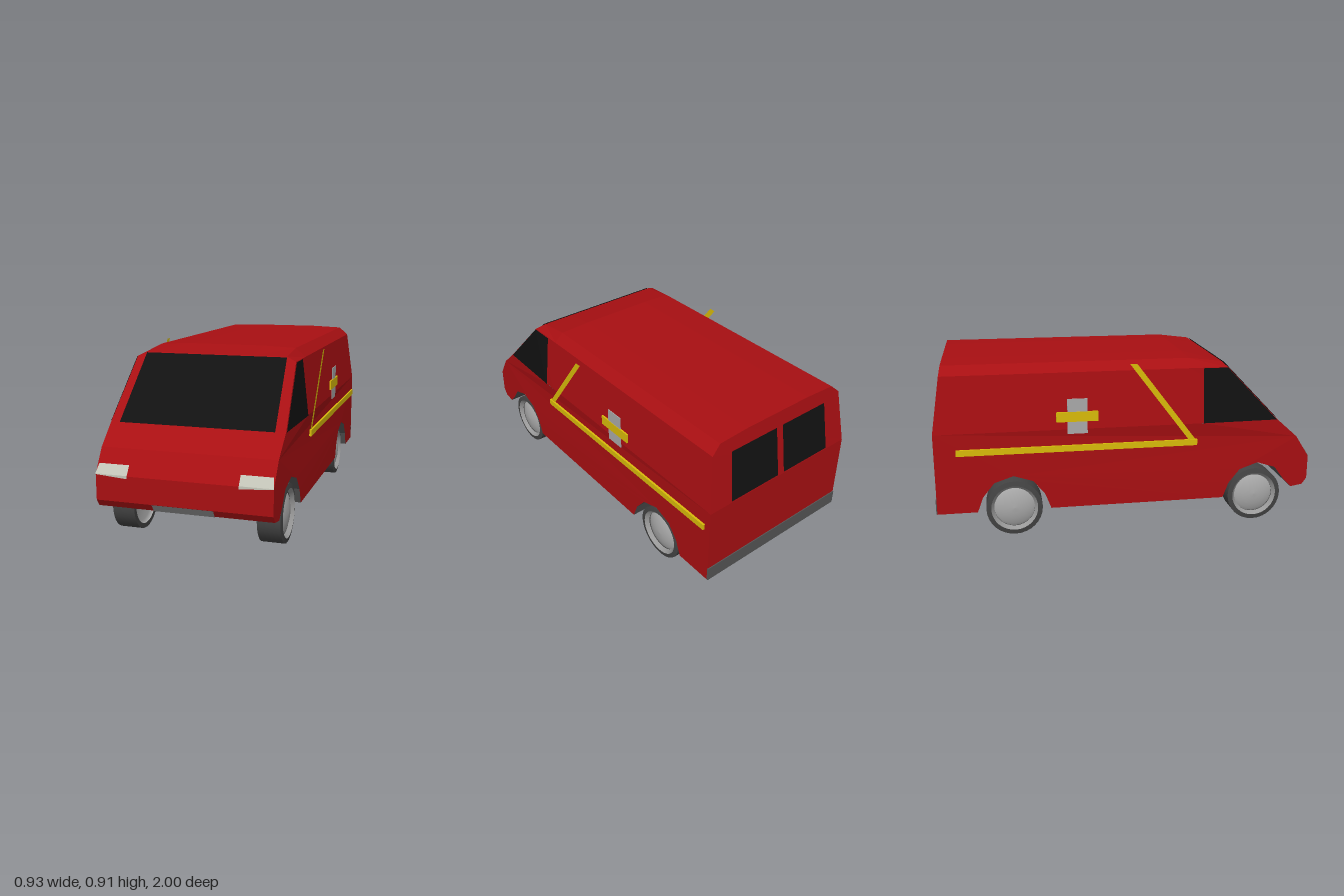
import * as THREE from 'three';

const RED = 0xa80f12, GLASS = 0x111111, DARK = 0x555555, TYRE = 0x444444, YELLOW = 0xd9bb0a, LAMP = 0xc4c5b8;

const paint = (color, flatShading = true) =>
  new THREE.MeshStandardMaterial({ color, flatShading, side: THREE.DoubleSide });

// Half width of the lower body, tapering toward the nose
const halfWidth = z => 0.455 - 0.018 * Math.max(0, (z - 0.4) / 0.6);

// Surface lofted between rows of points [x, y, z]
function loft(rows) {
  const n = rows[0].length, index = [];
  for (let r = 0; r < rows.length - 1; r++)
    for (let i = 0; i < n - 1; i++) {
      const a = r * n + i, b = a + n;
      index.push(a, b, a + 1, a + 1, b, b + 1);
    }
  return meshData(rows.flat(), index);
}

// Flat convex polygon as a triangle fan
function fan(points) {
  const index = [];
  for (let i = 1; i < points.length - 1; i++) index.push(0, i, i + 1);
  return meshData(points, index);
}

function meshData(points, index) {
  const g = new THREE.BufferGeometry();
  g.setAttribute('position', new THREE.Float32BufferAttribute(points.flat(), 3));
  g.setIndex(index);
  g.computeVertexNormals();
  return g;
}

export function createModel() {
  const van = new THREE.Group();
  const add = (name, geometry, color, flat = true, parent = van) => {
    const mesh = new THREE.Mesh(geometry, paint(color, flat));
    mesh.name = name;
    parent.add(mesh);
    return mesh;
  };

  // Lower body profile as [z, y]: painted nose, then underside with arches
  const nose = [[0.81, 0.57], [0.925, 0.468], [1, 0.352], [1, 0.225], [0.975, 0.19]];
  const under = [[0.975, 0.19], [0.91, 0.18], [0.87, 0.22], [0.81, 0.3], [0.71, 0.333], [0.61, 0.3],
    [0.55, 0.225], [0.52, 0.145], [-0.41, 0.145], [-0.44, 0.225], [-0.5, 0.3], [-0.6, 0.333],
    [-0.7, 0.3], [-0.76, 0.225], [-0.79, 0.145], [-0.995, 0.145]];
  const tail = [[-0.995, 0.145], [-0.995, 0.57]];
  const across = ([z, y]) => [[-halfWidth(z), y, z], [halfWidth(z), y, z]];
  add('nose', loft(nose.map(across)), RED);
  add('underside', loft(under.map(across)), DARK);
  add('tailPanel', loft(tail.map(across)), RED);

  const outline = [...nose, ...under.slice(1), tail[1], [0.4, 0.57]];
  for (const s of [-1, 1]) {
    const g = new THREE.ShapeGeometry(new THREE.Shape(outline.map(p => new THREE.Vector2(...p))));
    const pos = g.attributes.position;
    for (let i = 0; i < pos.count; i++) {
      const z = pos.getX(i);
      pos.setXYZ(i, s * halfWidth(z), pos.getY(i), z);
    }
    g.computeVertexNormals();
    add(s < 0 ? 'rightSide' : 'leftSide', g, RED);
  }

  // Upper body: hoops at belt, shoulder, gutter and roof crown
  const hoop = half => [...half.map(([x, y, z]) => [-x, y, z]), ...[...half].reverse()];
  const section = z => [[0.455, 0.57, z], [0.42, 0.86, z], [0.37, 0.905, z], [0.2, 0.912, z]];
  const rear = hoop([[0.455, 0.57, -0.995], [0.42, 0.86, -0.95], [0.37, 0.905, -0.942], [0.2, 0.912, -0.94]]);
  const front = hoop([[0.443, 0.57, 0.81], [0.42, 0.86, 0.531], [0.37, 0.882, 0.51], [0.2, 0.882, 0.51]]);
  add('upperBody', loft([rear, hoop(section(0.33)), front]), RED);
  add('rearUpperPanel', fan(rear), RED);
  add('windscreenFrame', fan(front), RED);

  // Windscreen and side windows
  const slope = y => 0.816 - (y - 0.57) * 0.9615;
  add('windscreen', fan([[-0.393, 0.567], [0.393, 0.567], [0.372, 0.876], [-0.372, 0.876]]
    .map(([x, y]) => [x, y + 0.003, slope(y)])), GLASS);
  for (const s of [-1, 1])
    add('sideWindow', fan([[0.457, 0.57, 0.4], [0.446, 0.57, 0.806], [0.424, 0.858, 0.53], [0.424, 0.858, 0.4]]
      .map(([x, y, z]) => [s * x, y, z])), GLASS);

  // Rear door windows
  for (const s of [-1, 1])
    add('rearWindow', fan([[0.02, 0.58], [0.325, 0.58], [0.31, 0.84], [0.02, 0.84]]
      .map(([x, y]) => [s * x, y, -0.999 + (y - 0.57) * 0.155])), GLASS);

  // Headlights wrapping over the nose crease
  for (const s of [-1, 1])
    add('headlight', loft([
      [[0.275, 0.34, 1.002], [0.438, 0.352, 1.002]],
      [[0.275, 0.355, 1.002], [0.438, 0.356, 1.001]],
      [[0.275, 0.4, 0.972], [0.43, 0.4, 0.972]],
    ].map(row => row.map(([x, y, z]) => [s * x, y, z]))), LAMP);

  // Front plate on the lower chamfer, rear bumper strip
  add('frontPlate', loft([
    [[-0.152, 0.225, 1.002], [0.152, 0.225, 1.002]],
    [[-0.152, 0.188, 0.977], [0.152, 0.188, 0.977]],
  ]), 0x888888);
  add('rearBumper', new THREE.BoxGeometry(0.91, 0.075, 0.008), DARK).position.set(0, 0.183, -0.996);

  // Side stripes and cross: flat plates standing upright beside the body
  for (const s of [-1, 1]) {
    const trim = new THREE.Group();
    trim.name = s < 0 ? 'rightTrim' : 'leftTrim';
    const plate = (name, z0, z1, y0, y1, thick, color) => {
      const m = add(name, new THREE.BoxGeometry(thick, y1 - y0, z1 - z0), color, true, trim);
      m.position.set(s * 0.461, (y0 + y1) / 2, (z0 + z1) / 2);
    };
    plate('beltStripe', s < 0 ? -0.885 : -0.96, 0.365, 0.455, 0.487, 0.011, YELLOW);
    plate('crossUpright', -0.318, -0.215, 0.548, 0.732, 0.004, 0xaaaaaa);
    plate('crossBar', -0.375, -0.16, 0.612, 0.664, 0.009, YELLOW);
    const x = s * 0.46, top = s < 0 ? 0.9 : 0.87, zTop = s < 0 ? 0.005 : 0.03;
    add('diagonalStripe', fan([[x, 0.475, 0.365], [x, 0.475, 0.328], [x, top, zTop], [x, top, zTop + 0.037]]),
      YELLOW, true, trim);
    van.add(trim);
  }

  // Wheels: lathed tyre, rim ring and domed hub on both faces
  const lathe = pts => new THREE.LatheGeometry(pts.map(p => new THREE.Vector2(...p)), 32);
  for (const z of [0.703, -0.6])
    for (const s of [-1, 1]) {
      const wheel = new THREE.Group();
      wheel.name = (z > 0 ? 'front' : 'rear') + (s < 0 ? 'RightWheel' : 'LeftWheel');
      add('tread', lathe([[0.147, -0.06], [0.147, 0.055]]), TYRE, false, wheel);
      add('outerWall', lathe([[0.147, 0.055], [0.122, 0.06]]), TYRE, false, wheel);
      add('innerWall', lathe([[0.147, -0.06], [0.122, -0.06]]), TYRE, false, wheel);
      add('rim', lathe([[0.122, 0.06], [0.106, 0.04]]), 0x999999, false, wheel);
      add('hub', lathe([[0.106, 0.035], [0.09, 0.044], [0.06, 0.053], [0.03, 0.058], [0, 0.06]]), 0xaaaaaa, false, wheel);
      add('innerHub', lathe([[0.122, -0.06], [0.11, -0.04], [0, -0.035]]), 0xaaaaaa, false, wheel);
      wheel.rotation.z = -s * Math.PI / 2;
      wheel.position.set(s * 0.375, 0.147, z);
      van.add(wheel);
    }

  return van;
}
